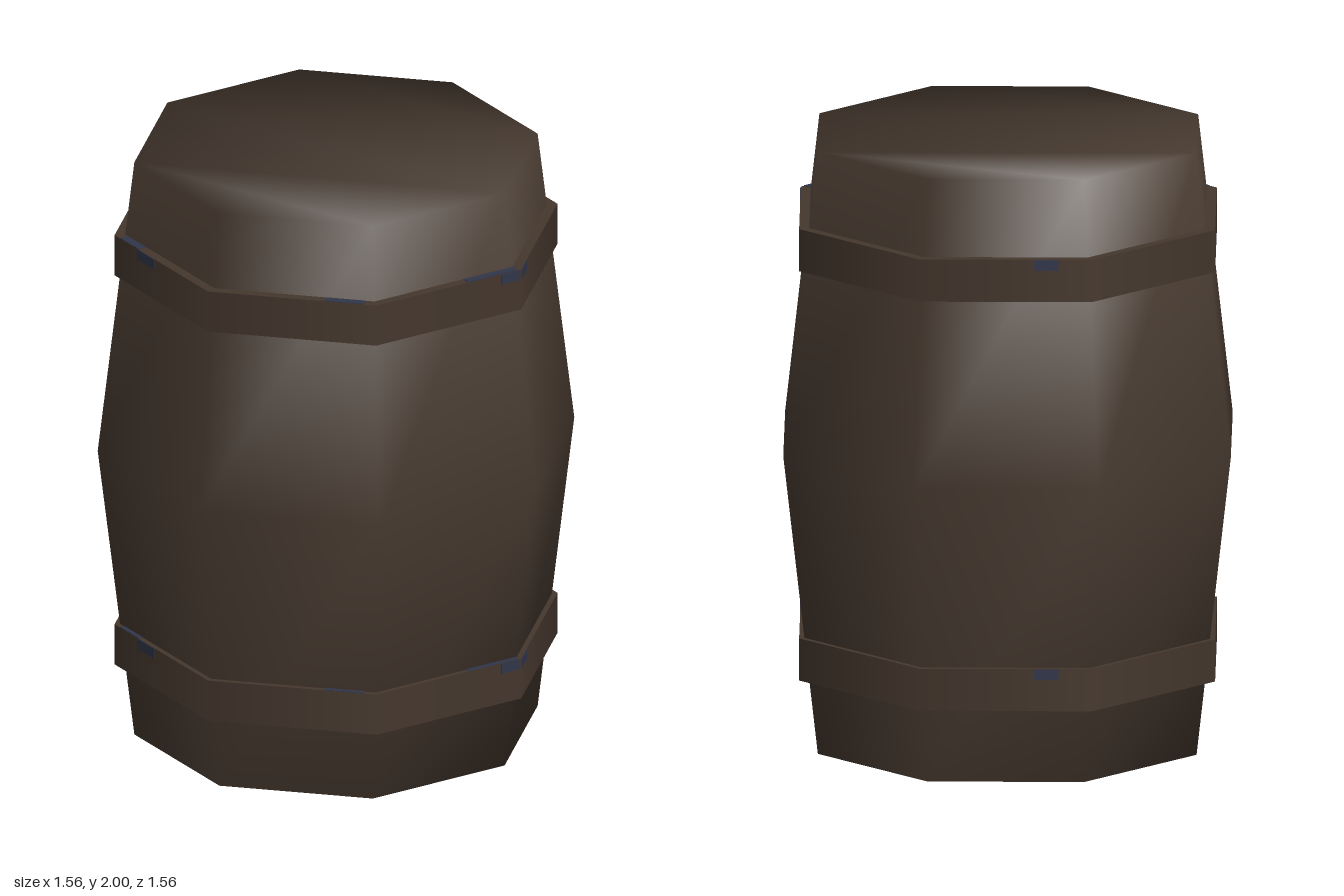
import * as THREE from 'three';

const SIDES = 8;

// Closed eight-sided barrel with shared, smooth normals; the lids are strips across the octagon
function barrelGeometry() {
  const rings = [[0, 0.66], [1, 0.78], [2, 0.66]];
  const positions = [];
  const index = [];
  for (const [y, r] of rings) {
    for (let k = 0; k < SIDES; k++) {
      const a = (k / SIDES) * Math.PI * 2;
      positions.push(r * Math.sin(a), y, r * Math.cos(a));
    }
  }
  for (let j = 0; j < rings.length - 1; j++) {
    for (let k = 0; k < SIDES; k++) {
      const a = j * SIDES + k;
      const b = j * SIDES + (k + 1) % SIDES;
      index.push(a, b, b + SIDES, a, b + SIDES, a + SIDES);
    }
  }
  const top = SIDES * (rings.length - 1);
  for (const [a, b, c, d] of [[3, 4, 5, 6], [2, 3, 6, 7], [1, 2, 7, 0]]) {
    // the last strip runs 7, 0, 1, 2 around the rim
    const q = a === 1 ? [7, 0, 1, 2] : [a, b, c, d];
    index.push(top + q[0], top + q[1], top + q[2], top + q[0], top + q[2], top + q[3]);
    index.push(q[0], q[2], q[1], q[0], q[3], q[2]);
  }
  const geometry = new THREE.BufferGeometry();
  geometry.setAttribute('position', new THREE.Float32BufferAttribute(positions, 3));
  geometry.setIndex(index);
  geometry.computeVertexNormals();
  return geometry;
}

export function createModel() {
  const wood = new THREE.MeshStandardMaterial({ color: 0x46392f });
  wood.name = 'dark wood';
  const hoopBrown = new THREE.MeshStandardMaterial({ color: 0x45372d });
  hoopBrown.name = 'hoop brown';
  const blue = new THREE.MeshStandardMaterial({ color: 0x30364a });
  blue.name = 'worn blue';

  const model = new THREE.Group();
  model.name = 'barrel';

  const add = (parent, name, geometry, material) => {
    const mesh = new THREE.Mesh(geometry, material);
    mesh.name = name;
    parent.add(mesh);
    return mesh;
  };

  add(model, 'barrelBody', barrelGeometry(), wood);

  // Hoops, with small blue wear marks: [face angle, offset along face, width]
  const hoopRadius = 0.725;
  const hoopHeight = 0.14;
  const apothem = hoopRadius * Math.cos(Math.PI / SIDES);
  const sideMarks = [[-22.5, -0.09, 0.1], [67.5, 0.235, 0.07], [112.5, -0.235, 0.07], [202.5, 0.13, 0.08]];
  const rimMarks = [[-22.5, -0.19, 0.11], [22.5, 0.17, 0.13], [67.5, 0.17, 0.19]];

  for (const [name, y] of [['lowerHoop', 0.32], ['upperHoop', 1.68]]) {
    const hoop = new THREE.Group();
    hoop.name = name;
    hoop.position.y = y;
    model.add(hoop);
    add(hoop, 'hoopBand', new THREE.CylinderGeometry(hoopRadius, hoopRadius, hoopHeight, SIDES), hoopBrown);

    const addMark = (markName, [angle, offset, width], height, depth, radius, level) => {
      const geometry = new THREE.BoxGeometry(width, height, depth);
      geometry.translate(offset, level, radius);
      add(hoop, markName, geometry, blue).rotation.y = THREE.MathUtils.degToRad(angle);
    };
    for (const mark of sideMarks) addMark('sideWearMark', mark, 0.035, 0.004, apothem, hoopHeight / 2 - 0.0185);
    for (const mark of rimMarks) addMark('rimWearMark', mark, 0.004, 0.028, apothem - 0.015, hoopHeight / 2);
  }

  return model;
}
